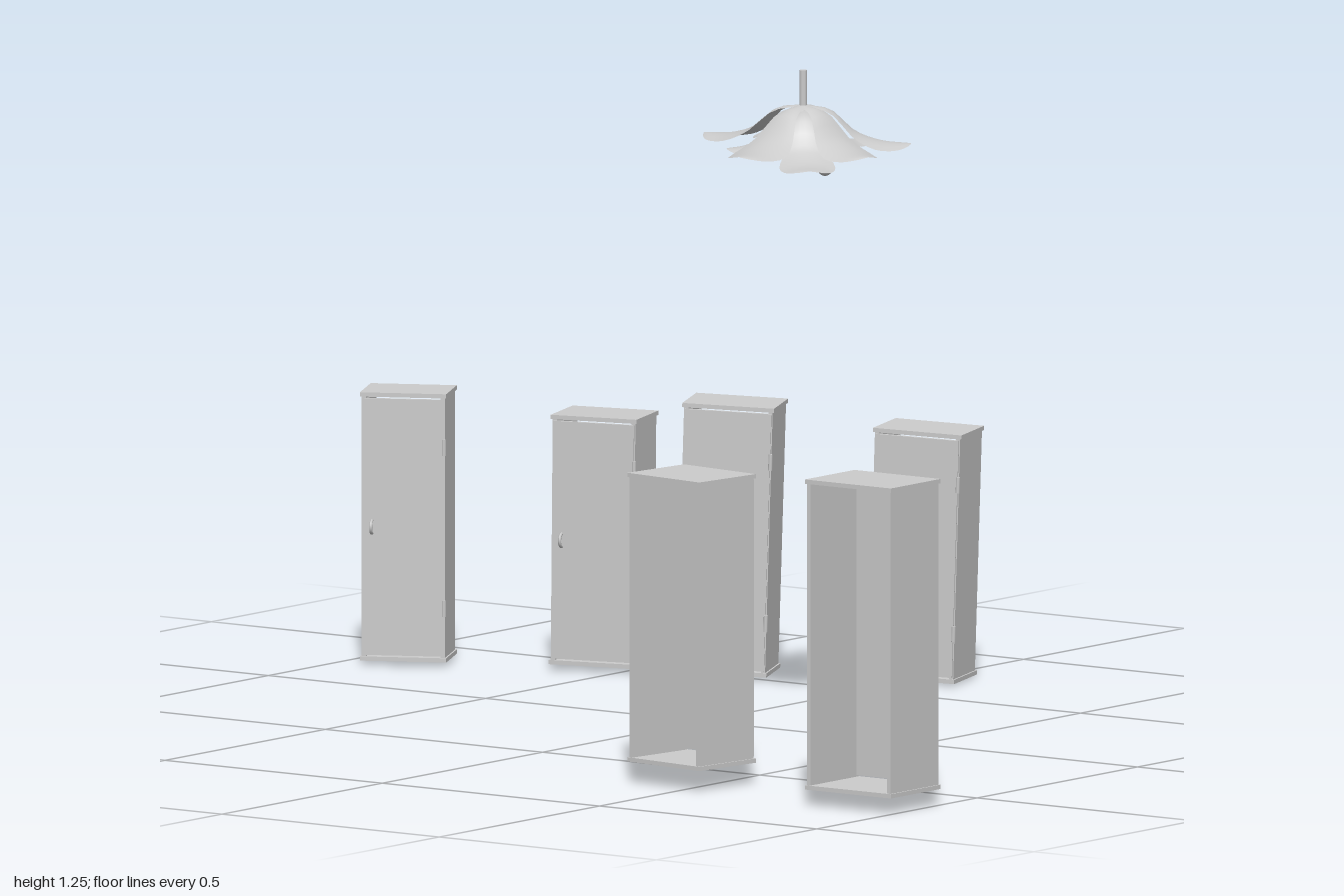
import * as THREE from 'three';

const grey = new THREE.MeshStandardMaterial({ color: 0xcccccc });
const petalGrey = new THREE.MeshStandardMaterial({ color: 0xcccccc, side: THREE.DoubleSide });

function add(parent, name, geometry, x, y, z, material = grey) {
  const mesh = new THREE.Mesh(geometry, material);
  mesh.name = name;
  mesh.position.set(x, y, z);
  parent.add(mesh);
  return mesh;
}

// Locker with its door on local +x and an open back on local -x
function createLocker(depth, height, width) {
  const g = new THREE.Group();
  const t = 0.008, lip = 0.003;
  const d = depth - lip * 2, w = width - lip * 2;
  const box = (a, b, c) => new THREE.BoxGeometry(a, b, c);

  add(g, 'floor', box(depth, t, width), 0, t / 2, 0);
  add(g, 'lid', box(depth, t, width), 0, height - t / 2, 0);
  for (const s of [-1, 1]) {
    add(g, 'sideWall', box(d, height - 2 * t, t), 0, height / 2, s * (w - t) / 2);
  }
  add(g, 'door', box(t, height - 2 * t - 0.006, w - 0.004), (depth - t) / 2, height / 2, 0);

  // Half-ring pull near one edge, hinges on the other
  const pull = add(g, 'handle', new THREE.TorusGeometry(0.012, 0.003, 6, 10, Math.PI),
    depth / 2, height * 0.5, width * 0.36);
  pull.rotation.z = -Math.PI / 2;
  for (const k of [0.2, 0.8]) {
    add(g, 'hinge', new THREE.CylinderGeometry(0.004, 0.004, 0.03, 8),
      depth / 2, height * k, -width / 2 + 0.004);
  }
  return g;
}

// Petal running outward along +x, drooping from the stem and flaring at the tip
function petalGeometry(length, halfWidth, drop) {
  const spine = new THREE.CatmullRomCurve3([
    [0.015, 0], [0.25, -0.12], [0.48, -0.68], [0.72, -0.93], [1, -1],
  ].map(([r, y]) => new THREE.Vector3(r * length, y * drop, 0)));
  const outline = new THREE.CatmullRomCurve3([
    [0, 0.2], [0.25, 0.4], [0.5, 0.78], [0.7, 1], [0.87, 0.8], [0.96, 0.42], [1, 0.06],
  ].map(([u, w]) => new THREE.Vector3(u, w, 0)));

  const geometry = new THREE.PlaneGeometry(1, 1, 16, 6);
  const pos = geometry.attributes.position;
  for (let i = 0; i < pos.count; i++) {
    const u = pos.getX(i) + 0.5, v = -pos.getY(i) * 2;
    const rim = outline.getPoint(u);
    const p = spine.getPoint(rim.x);
    pos.setXYZ(i, p.x, p.y - 0.012 * v * v * rim.y, v * rim.y * halfWidth);
  }
  geometry.computeVertexNormals();
  return geometry;
}

function createLamp() {
  const lamp = new THREE.Group();
  add(lamp, 'stem', new THREE.CylinderGeometry(0.007, 0.007, 0.08, 10), 0, 1.212, 0);
  add(lamp, 'socket', new THREE.CylinderGeometry(0.014, 0.022, 0.03, 12), 0, 1.165, 0);

  // Large upper petals, then shorter lower ones: [angle in degrees, length, half width, drop]
  const petals = [
    [180, 0.2, 0.058, 0.075], [97, 0.21, 0.052, 0.066], [25, 0.2, 0.056, 0.07],
    [-54, 0.2, 0.055, 0.072], [-100, 0.175, 0.058, 0.08],
    [137, 0.145, 0.048, 0.07], [60, 0.165, 0.05, 0.06], [-14, 0.14, 0.045, 0.068],
    [-140, 0.185, 0.052, 0.09],
  ];
  petals.forEach(([angle, length, halfWidth, drop], i) => {
    const top = i < 5 ? 1.187 : 1.179;
    const petal = add(lamp, 'petal', petalGeometry(length, halfWidth, drop), 0, top, 0, petalGrey);
    petal.rotation.y = THREE.MathUtils.degToRad(angle);
  });

  // Small bulbs hanging on short wires
  for (const [x, y, z] of [[0, 1.072, 0.05], [0.035, 1.095, -0.01], [-0.03, 1.1, -0.015]]) {
    add(lamp, 'bulb', new THREE.SphereGeometry(0.014, 12, 8), x, y, z);
    const wire = new THREE.LineCurve3(new THREE.Vector3(0, 1.16, 0), new THREE.Vector3(x, y, z));
    add(lamp, 'bulbWire', new THREE.TubeGeometry(wire, 1, 0.004, 6), 0, 0, 0);
  }
  return lamp;
}

export function createModel() {
  const model = new THREE.Group();
  model.name = 'lockersAndLamp';

  // Each locker: x, y, z of its base, depth, height, width, door direction (x, z), lean
  const lockers = [
    [0.304, 0.008, -0.902, 0.121, 0.502, 0.162, -0.89, 0.45, 0],
    [0.454, 0.01, -0.566, 0.125, 0.467, 0.168, -0.955, 0.3, 0.01],
    [0.545, 0.004, -0.346, 0.123, 0.505, 0.174, -0.91, 0.41, 0.036],
    [0.681, 0.007, 0.0, 0.125, 0.467, 0.174, -0.958, 0.287, 0.036],
    [-0.661, 0.04, 0.462, 0.152, 0.54, 0.184, 0.99, 0.125, 0],
    [-0.69, 0.03, 0.9, 0.155, 0.58, 0.198, 1, 0, 0],
  ];
  for (const [x, y, z, depth, height, width, dx, dz, lean] of lockers) {
    const locker = createLocker(depth, height, width);
    locker.name = 'locker';
    locker.position.set(x, y, z);
    locker.rotation.set(lean, Math.atan2(-dz, dx), 0);
    model.add(locker);
  }

  const lamp = createLamp();
  lamp.name = 'flowerLamp';
  lamp.position.set(-0.076, 0, 0.287);
  model.add(lamp);
  return model;
}
